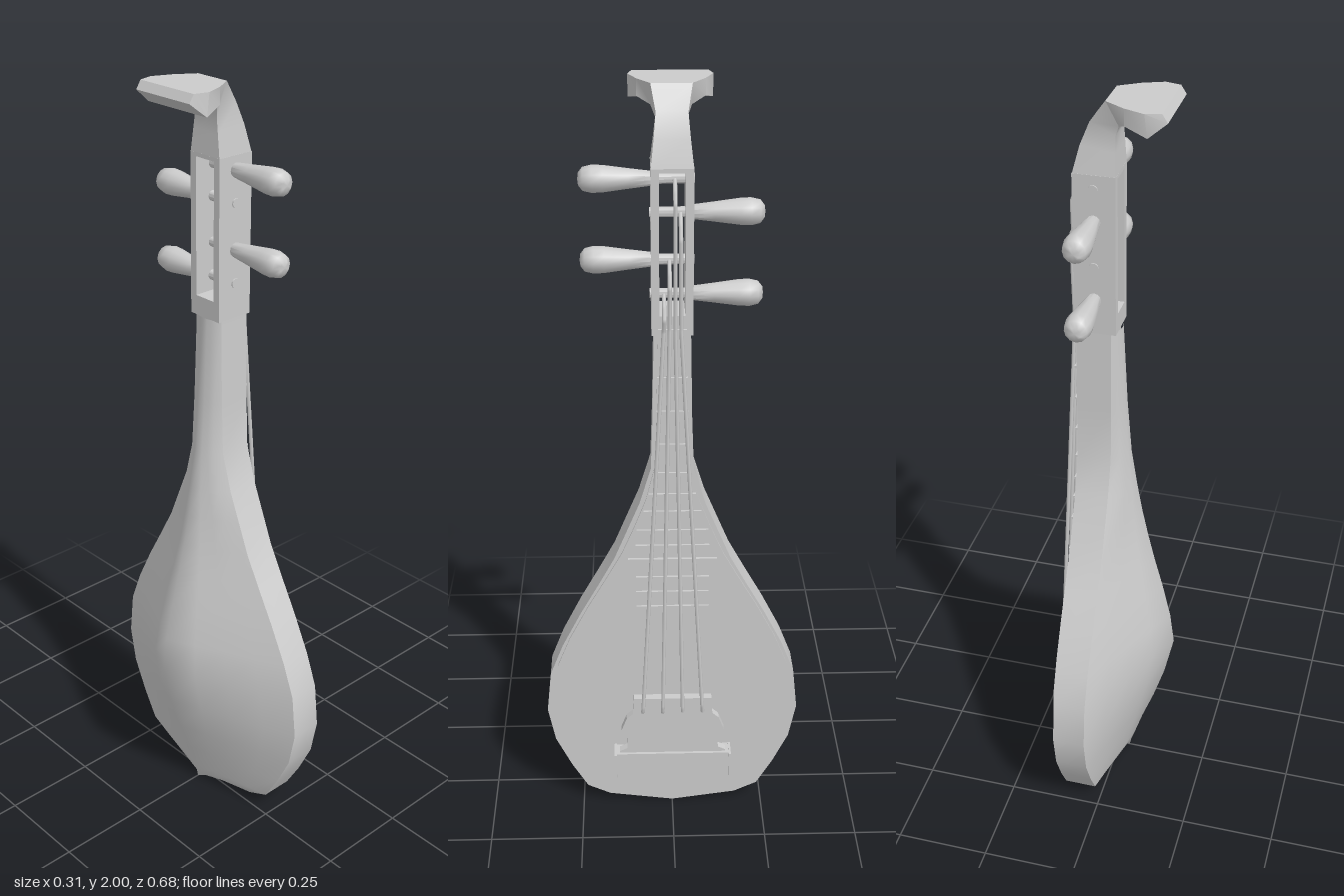
import * as THREE from 'three';
import { toCreasedNormals } from 'three/addons/utils/BufferGeometryUtils.js';

const material = new THREE.MeshStandardMaterial({ color: 0xcccccc });

// Body stations: [height, half width, back x]
const stations = [
  [0, 0, -0.03], [0.025, 0.175, -0.035], [0.055, 0.237, -0.045], [0.13, 0.28, -0.068],
  [0.22, 0.322, -0.1], [0.32, 0.341, -0.13], [0.44, 0.328, -0.155], [0.53, 0.293, -0.143],
  [0.63, 0.243, -0.12], [0.72, 0.193, -0.096], [0.8, 0.15, -0.077], [0.88, 0.117, -0.06],
  [0.96, 0.084, -0.046], [1.06, 0.054, -0.031], [1.2, 0.049, -0.02], [1.42, 0.045, -0.008],
];

function halfWidthAt(y) {
  const i = Math.max(1, stations.findIndex((s) => s[0] >= y));
  const [a, b] = [stations[i - 1], stations[i]];
  return THREE.MathUtils.mapLinear(y, a[0], b[0], a[1], b[1]);
}

// Skin over rows of [x, y, z] points
function loft(rows) {
  const n = rows[0].length;
  const index = [];
  for (let r = 0; r < rows.length - 1; r++) {
    for (let i = 0; i < n - 1; i++) {
      const a = r * n + i, b = a + n;
      index.push(a, b, a + 1, b, b + 1, a + 1);
    }
  }
  const geometry = new THREE.BufferGeometry();
  geometry.setAttribute('position', new THREE.Float32BufferAttribute(rows.flat(2), 3));
  geometry.setIndex(index);
  geometry.computeVertexNormals();
  return geometry;
}

// Symmetric plate from [height, half width] pairs, thick along x
function plate(profile, x0, x1, hole) {
  const right = profile.map(([y, w]) => new THREE.Vector2(w, y));
  const left = profile.filter(([, w]) => w > 0).map(([y, w]) => new THREE.Vector2(-w, y)).reverse();
  const shape = new THREE.Shape([...right, ...left]);
  if (hole) {
    const { w, y0, y1 } = hole;
    shape.holes.push(new THREE.Path([[-w, y0], [-w, y1], [w, y1], [w, y0]].map((p) => new THREE.Vector2(...p))));
  }
  const geometry = new THREE.ExtrudeGeometry(shape, { depth: x1 - x0, bevelEnabled: false });
  geometry.rotateY(Math.PI / 2).translate(x0, 0, 0);
  return toCreasedNormals(geometry, 0.45);
}

export function createModel() {
  const model = new THREE.Group();
  const add = (name, geometry) => {
    const mesh = new THREE.Mesh(geometry, material);
    mesh.name = name;
    model.add(mesh);
    return mesh;
  };
  const addBox = (name, [sx, sy, sz], [x, y, z]) =>
    add(name, new THREE.BoxGeometry(sx, sy, sz)).position.set(x, y, z);

  // Bowl back, straight sided at the belly and rounder along the neck
  const rimBack = 0.01;
  add('bowlBack', loft(stations.map(([y, w, back]) => {
    const round = THREE.MathUtils.smoothstep(y, 0.75, 1.1) * 0.32;
    return [1, 0.75, 0.5, 0.25, 0, -0.25, -0.5, -0.75, -1].map((t) => {
      const straight = 1 - Math.abs(t);
      const k = THREE.MathUtils.lerp(straight, Math.sqrt(1 - t * t), round * 2);
      return [rimBack + (back - rimBack) * k, y, w * t];
    });
  })));

  // Rim and the slightly raised soundboard
  add('rim', plate(stations, rimBack, 0.095));
  add('soundboard', plate(
    stations.map(([y, w]) => [0.04 + y * (1.38 / 1.42), Math.max(w - 0.02, w * 0.8)]), 0.09, 0.1));

  // Slotted pegbox and nut
  add('pegbox', plate([[1.42, 0.05], [1.825, 0.05]], -0.003, 0.1, { w: 0.031, y0: 1.47, y1: 1.815 }));
  addBox('nut', [0.012, 0.015, 0.07], [0.1, 1.43, 0]);

  // Head scroll bending backwards into a flared tip: front x, y, back x, y, half width
  const head = [
    [0.1, 1.82, -0.003, 1.82, 0.05], [0.082, 1.89, -0.001, 1.88, 0.042],
    [0.06, 1.945, 0, 1.918, 0.037], [0.02, 2, -0.01, 1.945, 0.048],
    [-0.03, 2, -0.03, 1.96, 0.08], [-0.08, 2, -0.087, 1.945, 0.1],
    [-0.117, 2, -0.13, 1.98, 0.09],
  ].map(([fx, fy, bx, by, w]) =>
    [[fx, fy, w], [bx, by, w], [bx, by, -w], [fx, fy, -w], [fx, fy, w]]);
  head.push(Array.from({ length: 5 }, () => [-0.1235, 1.99, 0]));
  add('headScroll', toCreasedNormals(loft(head), 0.6));

  // Tuning pegs on alternating sides
  const pegProfile = [
    [0, -0.053], [0.012, -0.053], [0.013, 0.03], [0.018, 0.052], [0.024, 0.1], [0.032, 0.16],
    [0.033, 0.185], [0.028, 0.206], [0.015, 0.216], [0, 0.218],
  ].map((p) => new THREE.Vector2(...p));
  const pegGeometry = toCreasedNormals(new THREE.LatheGeometry(pegProfile, 12), 0.9);
  const pegHeights = [1.79, 1.71, 1.595, 1.51];
  pegHeights.forEach((y, i) => {
    const peg = add('tuningPeg', pegGeometry);
    peg.position.set(0.05, y, 0);
    peg.rotation.x = (i % 2 ? -1 : 1) * Math.PI / 2;
  });

  // Frets along the neck and upper soundboard
  const fretHeights = [0.655, 0.7, 0.745, 0.84, 0.885, 0.94, 0.99, 1.05, 1.13, 1.22, 1.31];
  for (const y of fretHeights) {
    addBox('fret', [0.008, 0.006, 2 * Math.min(0.095, halfWidthAt(y) * 0.8)], [0.102, y, 0]);
  }
  addBox('wideFret', [0.01, 0.012, 0.23], [0.103, 0.797, 0]);

  // Bridge: scalloped plate on a tail bar with end flanges
  add('bridgePlate', plate([
    [0.18, 0.145], [0.205, 0.145], [0.215, 0.125], [0.25, 0.122], [0.275, 0.14],
    [0.315, 0.125], [0.33, 0.108], [0.38, 0.105],
  ], 0.114, 0.135));
  addBox('bridgeBar', [0.043, 0.07, 0.31], [0.1215, 0.165, 0]);
  for (const side of [-1, 1]) addBox('bridgeFlange', [0.055, 0.076, 0.006], [0.1255, 0.165, side * 0.157]);

  // Strings from the pegs, over the nut, to the bridge
  pegHeights.forEach((pegY, i) => {
    const t = [-1.5, -0.5, 0.5, 1.5][[1, 0, 2, 3][i]];
    const path = new THREE.CurvePath();
    const points = [
      [0.062, pegY, t * 0.013], [0.098, pegY - 0.02, t * 0.013], [0.113, pegY - 0.05, t * 0.013],
      [0.107, 1.435, t * 0.014], [0.146, 0.36, t * 0.053], [0.142, 0.34, t * 0.054], [0.125, 0.34, t * 0.054],
    ].map((p) => new THREE.Vector3(...p));
    for (let k = 0; k < points.length - 1; k++) path.add(new THREE.LineCurve3(points[k], points[k + 1]));
    add('string', new THREE.TubeGeometry(path, 160, 0.005, 6));
  });

  return model;
}
